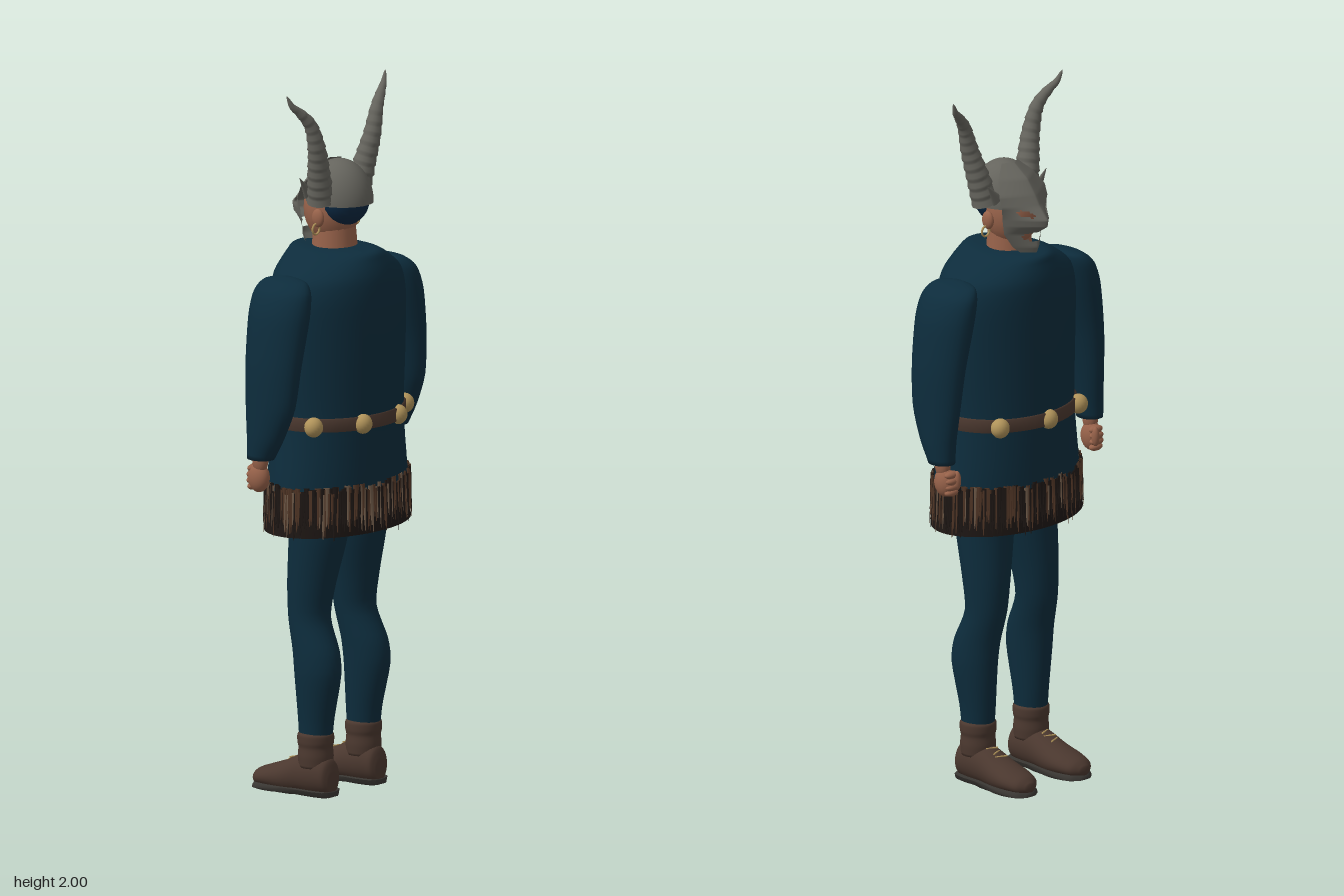
import * as THREE from 'three';
import { mergeGeometries } from 'three/addons/utils/BufferGeometryUtils.js';

const mat = (name, color, side = THREE.FrontSide) => {
  const m = new THREE.MeshStandardMaterial({ color, side });
  m.name = name;
  return m;
};

// Loft through elliptical sections [cx, y, cz, rx, rz], smoothed along the way.
function loft(sections, { seg = 28, sub = 4, caps = true } = {}) {
  const curve = (f) => new THREE.CatmullRomCurve3(sections.map(f), false, 'catmullrom', 0.4);
  const centres = curve((s) => new THREE.Vector3(s[0], s[1], s[2]));
  const radii = curve((s) => new THREE.Vector3(s[3], s[4], 0));
  const n = (sections.length - 1) * sub;
  const pos = [], idx = [];
  for (let i = 0; i <= n; i++) {
    const c = centres.getPoint(i / n), r = radii.getPoint(i / n);
    for (let j = 0; j < seg; j++) {
      const a = (j / seg) * Math.PI * 2;
      pos.push(c.x + Math.cos(a) * r.x, c.y, c.z + Math.sin(a) * r.y);
      if (i < n) {
        const p = i * seg + j, q = i * seg + ((j + 1) % seg);
        idx.push(p, p + seg, q, q, p + seg, q + seg);
      }
    }
  }
  if (caps) {
    const a = sections[0], b = sections[sections.length - 1], k = pos.length / 3;
    pos.push(a[0], a[1], a[2], b[0], b[1], b[2]);
    for (let j = 0; j < seg; j++) {
      const q = (j + 1) % seg;
      idx.push(k, j, q, k + 1, n * seg + q, n * seg + j);
    }
  }
  const g = new THREE.BufferGeometry();
  g.setAttribute('position', new THREE.Float32BufferAttribute(pos, 3));
  g.setIndex(idx);
  g.computeVertexNormals();
  return g;
}

function clampY(g, lo, hi) {
  const p = g.attributes.position;
  for (let i = 0; i < p.count; i++) p.setY(i, Math.min(hi, Math.max(lo, p.getY(i))));
  g.computeVertexNormals();
  return g;
}

const ball = (rx, ry, rz, x, y, z) => new THREE.SphereGeometry(1, 20, 14).scale(rx, ry, rz).translate(x, y, z);

// Wedge-shaped face mask with open eyes and mouth: rows of [y, half width, edge z, front z].
function maskGeometry() {
  const rows = [[1.53, 0.02, -0.085, -0.1], [1.56, 0.052, -0.065, -0.112], [1.6, 0.076, -0.055, -0.108],
    [1.625, 0.08, -0.055, -0.146], [1.645, 0.083, -0.055, -0.15], [1.68, 0.09, -0.06, -0.118],
    [1.71, 0.09, -0.05, -0.1], [1.75, 0.068, -0.025, -0.07], [1.785, 0.03, 0, -0.02]];
  const n = 56, pos = [], idx = [];
  const inHole = (x, y) => {
    const eye = ((Math.abs(x) - 0.04) / 0.019) ** 2 + ((y - 1.66 - (Math.abs(x) - 0.04) * 0.25) / 0.009) ** 2;
    const mouth = (x / 0.036) ** 2 + ((y - 1.588) / 0.013) ** 2;
    return eye < 1 || mouth < 1;
  };
  for (let i = 0; i <= n; i++) {
    const f = (i / n) * (rows.length - 1), k = Math.min(rows.length - 2, Math.floor(f));
    const [y, w, zs, zf] = rows[k].map((v, c) => THREE.MathUtils.lerp(v, rows[k + 1][c], f - k));
    for (let j = 0; j <= n; j++) {
      const u = (j / n) * 2 - 1;
      pos.push(u * w, y, zs + (zf - zs) * (1 - Math.abs(u) ** 1.25));
      if (i < n && j < n && !inHole(((j + 0.5) / n * 2 - 1) * w, y)) {
        const p = i * (n + 1) + j, q = p + n + 1;
        idx.push(p, q, p + 1, p + 1, q, q + 1);
      }
    }
  }
  const g = new THREE.BufferGeometry();
  g.setAttribute('position', new THREE.Float32BufferAttribute(pos, 3));
  g.setIndex(idx);
  g.computeVertexNormals();
  return g;
}

// Curved horn whose radius steps in ridges.
function hornGeometry() {
  const path = new THREE.CatmullRomCurve3([[0.078, 1.68, 0.015], [0.1, 1.76, 0.025], [0.122, 1.84, 0.035],
    [0.146, 1.91, 0.032], [0.18, 1.95, 0.02], [0.2, 1.968, 0.012], [0.216, 2, 0.005]].map((p) => new THREE.Vector3(...p)));
  const n = 64, seg = 16;
  const g = new THREE.TubeGeometry(path, n, 1, seg, false), p = g.attributes.position, v = new THREE.Vector3();
  for (let i = 0; i <= n; i++) {
    const t = i / n, c = path.getPointAt(t), ridge = t < 0.85 ? 1.07 - 0.14 * ((t * 13) % 1) : 1;
    const r = 0.037 * (1 - t) ** 0.65 * ridge + 0.0005;
    for (let j = 0; j <= seg; j++) {
      const k = i * (seg + 1) + j;
      v.fromBufferAttribute(p, k).sub(c).multiplyScalar(r).add(c);
      p.setXYZ(k, v.x, v.y, v.z);
    }
  }
  g.computeVertexNormals();
  return g;
}

export function createModel() {
  const model = new THREE.Group();
  model.name = 'hornedFigure';
  const cloth = mat('navy cloth', 0x0d2c3c, THREE.DoubleSide);
  const horn = mat('grey horn', 0x65645d, THREE.DoubleSide);
  const skin = mat('skin', 0x97624a);
  const leather = mat('brown leather', 0x4b382f);
  const gold = mat('gold', 0xb0935a);
  const hairMat = mat('dark blue hair', 0x0b2740);
  const soleMat = mat('sole', 0x3a3733);
  const dark = mat('dark fringe', 0x1e1714, THREE.DoubleSide);
  const rust = mat('brown fringe', 0x513626, THREE.DoubleSide);
  const tan = mat('tan fringe', 0x6f5a48, THREE.DoubleSide);
  const add = (name, g, m, parent = model) => {
    const mesh = new THREE.Mesh(g, m);
    mesh.name = name;
    parent.add(mesh);
    return mesh;
  };

  // Tunic, belt and belt bosses
  add('tunic', loft([[0, 0.78, 0.01, 0.245, 0.163], [0, 0.9, 0.01, 0.232, 0.164], [0, 1.07, 0.01, 0.21, 0.164],
    [0, 1.25, 0.012, 0.214, 0.167], [0, 1.4, 0.012, 0.217, 0.167], [0, 1.47, 0.01, 0.198, 0.162],
    [0, 1.515, 0.008, 0.14, 0.148], [0, 1.54, 0.005, 0.085, 0.13], [0, 1.545, 0, 0.03, 0.04]],
  { seg: 48, caps: false }), cloth);
  add('belt', loft([[0, 1.05, 0.01, 0.208, 0.16], [0, 1.052, 0.01, 0.217, 0.171], [0, 1.088, 0.01, 0.217, 0.171],
    [0, 1.09, 0.01, 0.208, 0.16]], { seg: 48, sub: 1, caps: false }), leather);
  const bosses = [[0, -0.153], [0.155, -0.117], [-0.155, -0.117], [0.2, 0.088], [-0.2, 0.088], [0.077, 0.164], [-0.077, 0.164]];
  add('beltBosses', mergeGeometries(bosses.map(([x, z]) => ball(0.027, 0.028, 0.026, x, 1.068, z))), gold);

  // Ragged fringe: flat tapered strands around the hem
  let seed = 7;
  const rnd = () => (seed = (seed * 16807) % 2147483647) / 2147483647;
  const strands = [[], [], []];
  for (let i = 0; i < 260; i++) {
    const a = (i / 260) * Math.PI * 2, len = 0.085 + rnd() * 0.05;
    const top = 0.875 + rnd() * 0.025, w = 0.006 + rnd() * 0.004;
    const g = new THREE.CylinderGeometry(w, 0.001, len, 4, 1, true).scale(1, 1, 0.5);
    g.rotateX(-0.06).rotateY(Math.PI / 2 - a);
    g.translate(Math.cos(a) * 0.246, top - len / 2, 0.01 + Math.sin(a) * 0.168);
    strands[rnd() < 0.55 ? 0 : rnd() < 0.7 ? 1 : 2].push(g);
  }
  [dark, rust, tan].forEach((m, i) => add('fringe', mergeGeometries(strands[i]), m));
  add('fringeBand', loft([[0, 0.755, 0.01, 0.25, 0.166], [0, 0.865, 0.01, 0.238, 0.1665]],
    { seg: 96, sub: 1, caps: false }), dark);
  add('hips', ball(0.16, 0.09, 0.09, 0, 0.83, 0.01), cloth);

  // Limbs, built on +x and mirrored by negating x and the winding
  const mirror = (g) => {
    const m = g.clone().scale(-1, 1, 1);
    const ix = m.index.array;
    for (let i = 0; i < ix.length; i += 3) [ix[i], ix[i + 1]] = [ix[i + 1], ix[i]];
    m.computeVertexNormals();
    return m;
  };
  const pair = (name, g, m) => {
    add(`${name}Left`, g, m);
    add(`${name}Right`, mirror(g), m);
  };

  pair('leg', loft([[0.105, 0.15, 0.018, 0.045, 0.046], [0.105, 0.22, 0.02, 0.048, 0.053], [0.108, 0.34, 0.028, 0.057, 0.07],
    [0.106, 0.41, 0.02, 0.058, 0.07], [0.1, 0.5, -0.008, 0.058, 0.06], [0.095, 0.6, -0.004, 0.066, 0.07],
    [0.085, 0.74, 0.012, 0.08, 0.085], [0.082, 0.87, 0.012, 0.082, 0.09]]), cloth);
  pair('sleeve', loft([[0.293, 0.98, -0.025, 0.035, 0.04], [0.291, 1.04, -0.01, 0.041, 0.058], [0.285, 1.13, 0.003, 0.047, 0.08],
    [0.274, 1.25, 0.005, 0.055, 0.09], [0.25, 1.38, 0.005, 0.063, 0.097], [0.232, 1.445, 0.003, 0.055, 0.092],
    [0.215, 1.475, 0, 0.035, 0.07], [0.205, 1.485, 0, 0.01, 0.02]]), cloth);

  // Fists
  const fist = [ball(0.026, 0.042, 0.034, 0.29, 0.925, -0.035), ball(0.02, 0.04, 0.024, 0.292, 0.975, -0.028),
    ball(0.011, 0.028, 0.012, 0.274, 0.932, -0.066)];
  for (let i = 0; i < 4; i++) fist.push(ball(0.024, 0.011, 0.014, 0.286, 0.898 + i * 0.017, -0.06 + Math.abs(i - 1.5) * 0.003));
  pair('hand', mergeGeometries(fist), skin);

  // Shoes: lofted heel to toe, then laid flat
  const shoe = loft([[0.105, -0.08, 0.04, 0.022, 0.03], [0.105, -0.068, 0.055, 0.04, 0.05], [0.105, -0.03, 0.06, 0.048, 0.06],
    [0.105, 0.02, 0.055, 0.049, 0.058], [0.105, 0.08, 0.04, 0.054, 0.046], [0.106, 0.13, 0.034, 0.054, 0.034],
    [0.107, 0.17, 0.028, 0.042, 0.025], [0.108, 0.19, 0.024, 0.016, 0.012]]).rotateX(-Math.PI / 2);
  pair('sole', clampY(shoe.clone().translate(-0.105, -0.028, 0).scale(1.03, 1, 1.01).translate(0.105, 0, 0), 0, 0.016), soleMat);
  pair('shoe', clampY(shoe, 0.012, 0.2), leather);
  pair('ankleCuff', loft([[0.105, 0.08, 0.018, 0.048, 0.048], [0.105, 0.11, 0.018, 0.05, 0.05], [0.105, 0.135, 0.018, 0.048, 0.048],
    [0.105, 0.15, 0.018, 0.051, 0.051], [0.105, 0.17, 0.018, 0.051, 0.051], [0.105, 0.178, 0.018, 0.046, 0.046]]), leather);
  const laces = [0, 1, 2].map((i) => new THREE.CylinderGeometry(0.0025, 0.0025, 0.036, 6).rotateZ(Math.PI / 2)
    .rotateY(i % 2 ? 0.35 : -0.35).translate(0.105, 0.105 - i * 0.008, -0.036 - i * 0.018));
  pair('laces', mergeGeometries(laces), gold);

  // Head
  add('neck', new THREE.CylinderGeometry(0.058, 0.068, 0.12, 24).translate(0, 1.55, 0), skin);
  add('face', ball(0.076, 0.1, 0.08, 0, 1.645, -0.01), skin);
  add('hair', ball(0.074, 0.068, 0.06, 0, 1.67, 0.04), hairMat);
  pair('ear', ball(0.012, 0.026, 0.02, 0.079, 1.63, 0.005), skin);
  pair('earring', new THREE.TorusGeometry(0.015, 0.003, 8, 20).translate(0.088, 1.6, 0.005), gold);

  // Helmet, mask, pointed mask ears and horns
  add('helmet', new THREE.SphereGeometry(1, 36, 14, 0, Math.PI * 2, 0, Math.PI / 2).scale(0.089, 0.12, 0.098)
    .translate(0, 1.668, 0.018), horn);
  add('mask', maskGeometry(), horn);
  pair('maskEar', new THREE.ConeGeometry(0.019, 0.065, 12).scale(1, 1, 0.5).rotateZ(-0.65).translate(0.098, 1.72, -0.03), horn);
  pair('horn', hornGeometry(), horn);
  return model;
}
